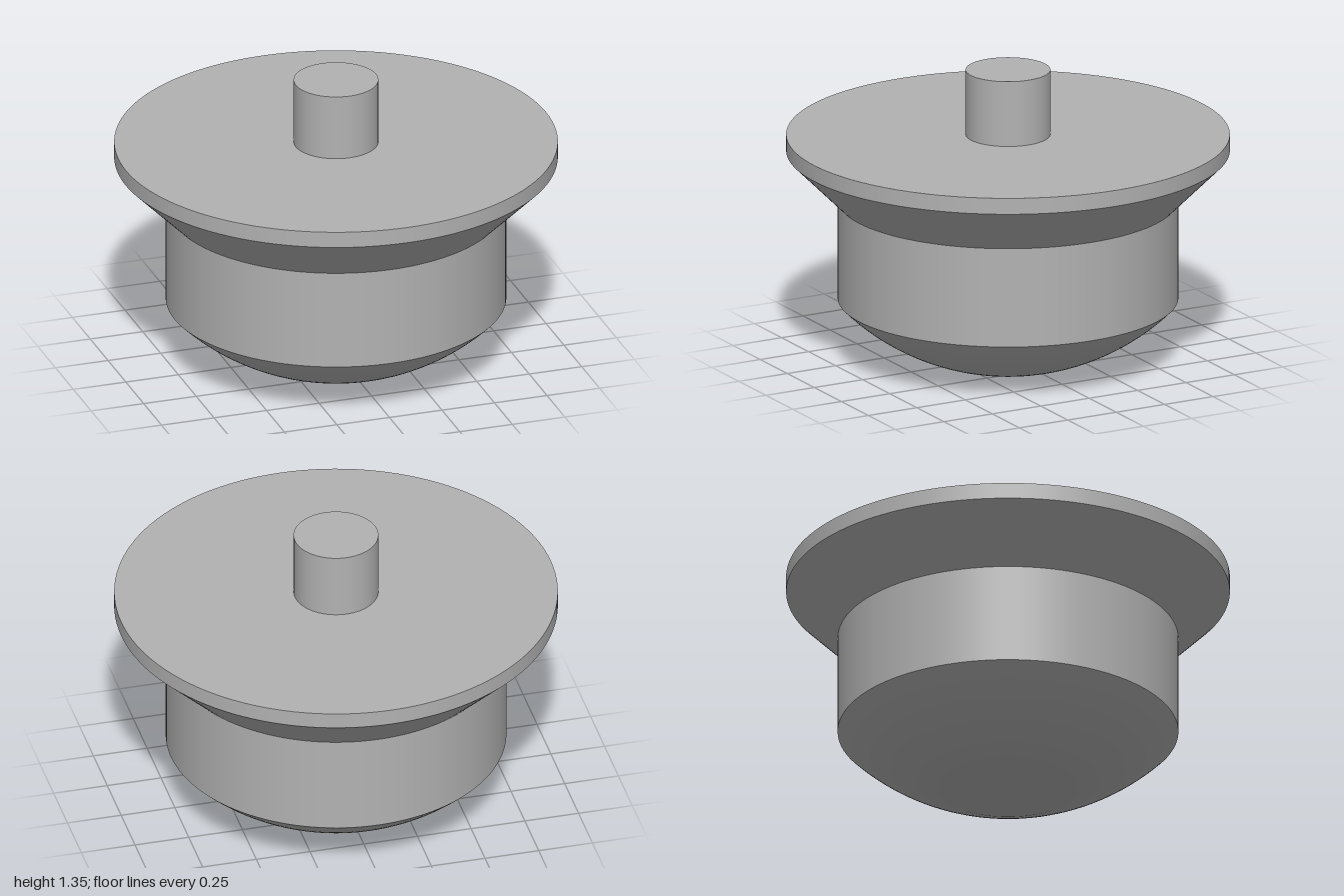
import * as THREE from 'three';

const SEGMENTS = 128;

export function createModel() {
  const group = new THREE.Group();
  const grey = new THREE.MeshStandardMaterial({ color: 0xb2b2b2 });
  grey.name = 'grey';

  // Turn a profile of [radius, height] points, running up the outside, into a named part
  const turn = (name, profile) => {
    const points = profile.map(([r, y]) => new THREE.Vector2(r, y));
    const mesh = new THREE.Mesh(new THREE.LatheGeometry(points, SEGMENTS), grey);
    mesh.name = name;
    group.add(mesh);
  };

  const baseR = 0.32, bodyR = 0.768, rimR = 1, stemR = 0.191;
  const bodyY = 0.275, flareY = 0.738, rimY = 0.97, topY = 1.045, stemY = 1.35;

  // Spherical underside, cut flat at the bottom
  const centreY = (bodyR ** 2 + bodyY ** 2 - baseR ** 2) / (2 * bodyY);
  const sphereR = Math.hypot(baseR, centreY);
  const startAngle = Math.asin(baseR / sphereR);
  const endAngle = Math.asin(bodyR / sphereR);
  const dome = [];
  for (let i = 0; i <= 16; i++) {
    const a = THREE.MathUtils.lerp(startAngle, endAngle, i / 16);
    dome.push([sphereR * Math.sin(a), centreY - sphereR * Math.cos(a)]);
  }

  // Each surface is its own part, so the edges between them stay sharp
  turn('flatBase', [[0, 0], [baseR, 0]]);
  turn('domedUnderside', dome);
  turn('body', [[bodyR, bodyY], [bodyR, flareY]]);
  turn('flare', [[bodyR, flareY], [rimR, rimY]]);
  turn('rim', [[rimR, rimY], [rimR, topY]]);
  turn('rimTop', [[rimR, topY], [stemR, topY]]);
  turn('stem', [[stemR, topY], [stemR, stemY]]);
  turn('stemTop', [[stemR, stemY], [0, stemY]]);

  return group;
}
